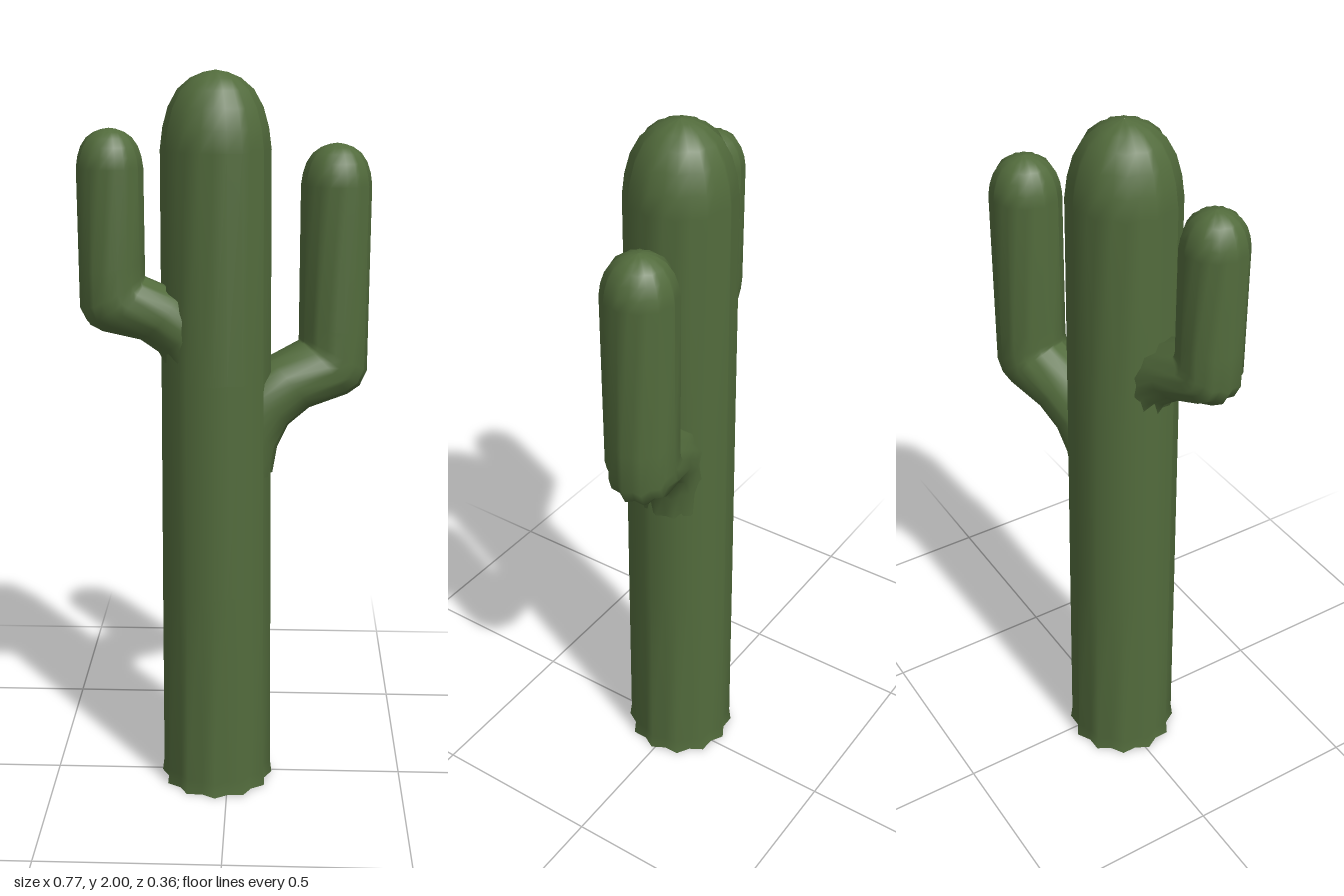
import * as THREE from 'three';

const RIBS = 12;
const SIDES = RIBS * 2;
const VALLEY = 0.9; // groove radius relative to rib crest

// Skin through ribbed rings. Each ring: inner edge (x, y), outer edge (x, y), half width in z.
function ribbedSkin(rings, phase = 0) {
  const positions = [];
  const index = [];
  rings.forEach(([x0, y0, x1, y1, halfWidth], i) => {
    for (let j = 0; j < SIDES; j++) {
      const a = (j / SIDES) * Math.PI * 2 + phase;
      const f = j % 2 ? VALLEY : 1;
      const c = Math.cos(a) * f;
      positions.push(
        (x0 + x1) / 2 + ((x1 - x0) / 2) * c,
        (y0 + y1) / 2 + ((y1 - y0) / 2) * c,
        halfWidth * Math.sin(a) * f
      );
      if (i === rings.length - 1) continue;
      const k = (j + 1) % SIDES;
      const p = i * SIDES + j, q = i * SIDES + k;
      index.push(p, p + SIDES, q, q, p + SIDES, q + SIDES);
    }
  });
  const geometry = new THREE.BufferGeometry();
  geometry.setAttribute('position', new THREE.Float32BufferAttribute(positions, 3));
  geometry.setIndex(index);
  geometry.computeVertexNormals();
  return geometry;
}

// Level round ring centred at x
const level = (x, y, r) => [x - r, y, x + r, y, r];

// Rounded tip: radius factor, drop below the top as a share of dome height
const DOME = [[1, 1], [0.95, 0.72], [0.85, 0.46], [0.68, 0.24], [0.45, 0.1], [0.22, 0.03], [0.001, 0]];
const dome = (x, top, r, height) => DOME.map(([f, drop]) => level(x, top - drop * height, r * f));

// Elbow rings: x from the upright's axis, y from the inner corner, in units of arm radius
const ELBOW = [
  [-4.0, -3.8, -1.85, -3.8],
  [-3.5, -1.9, -1.72, -3.05],
  [-2.8, -1.05, -1.4, -2.42],
  [-2.0, -0.47, -0.77, -1.95],
  [-1.0, 0, 0.39, -1.63],
  [-1.0, 0.06, 0.78, -1.4],
  [-1.0, 0.15, 1.0, -0.95],
  [-1.0, 0.5, 1.0, 0.2],
];

export function createModel() {
  const green = new THREE.MeshStandardMaterial({ color: 0x526b3c });
  green.name = 'cactus green';
  const cactus = new THREE.Group();
  cactus.name = 'cactus';
  cactus.position.set(-0.033, 0, 0.01);

  const add = (name, geometry) => {
    const mesh = new THREE.Mesh(geometry, green);
    mesh.name = name;
    cactus.add(mesh);
    return mesh;
  };

  // Trunk, slightly flared at the foot
  add('trunk', ribbedSkin([
    level(0, 0, 0.16), level(0, 0.04, 0.155), level(0, 0.6, 0.152), level(0, 1.2, 0.148),
    ...dome(0, 2, 0.145, 0.2),
  ]));
  add('trunkBase', ribbedSkin([level(0, 0, 0.001), level(0, 0, 0.16)]));

  // Arms: offset of the upright from the trunk, radius, inner corner height, top
  const arm = (name, dx, dz, r, corner, top) => {
    const reach = Math.hypot(dx, dz);
    const rings = ELBOW.map(([x0, y0, x1, y1]) =>
      [reach + x0 * r, corner + y0 * r, reach + x1 * r, corner + y1 * r, r]);
    const mesh = add(name, ribbedSkin([...rings, ...dome(reach, top, r, r * 1.15)], Math.PI / RIBS));
    mesh.rotation.y = Math.atan2(-dz, dx);
  };
  arm('leftArm', 0.318, -0.1, 0.095, 1.28, 1.81);
  arm('rightArm', -0.267, 0.08, 0.086, 1.48, 1.86);

  const model = new THREE.Group();
  model.name = 'cactusModel';
  model.add(cactus);
  return model;
}
